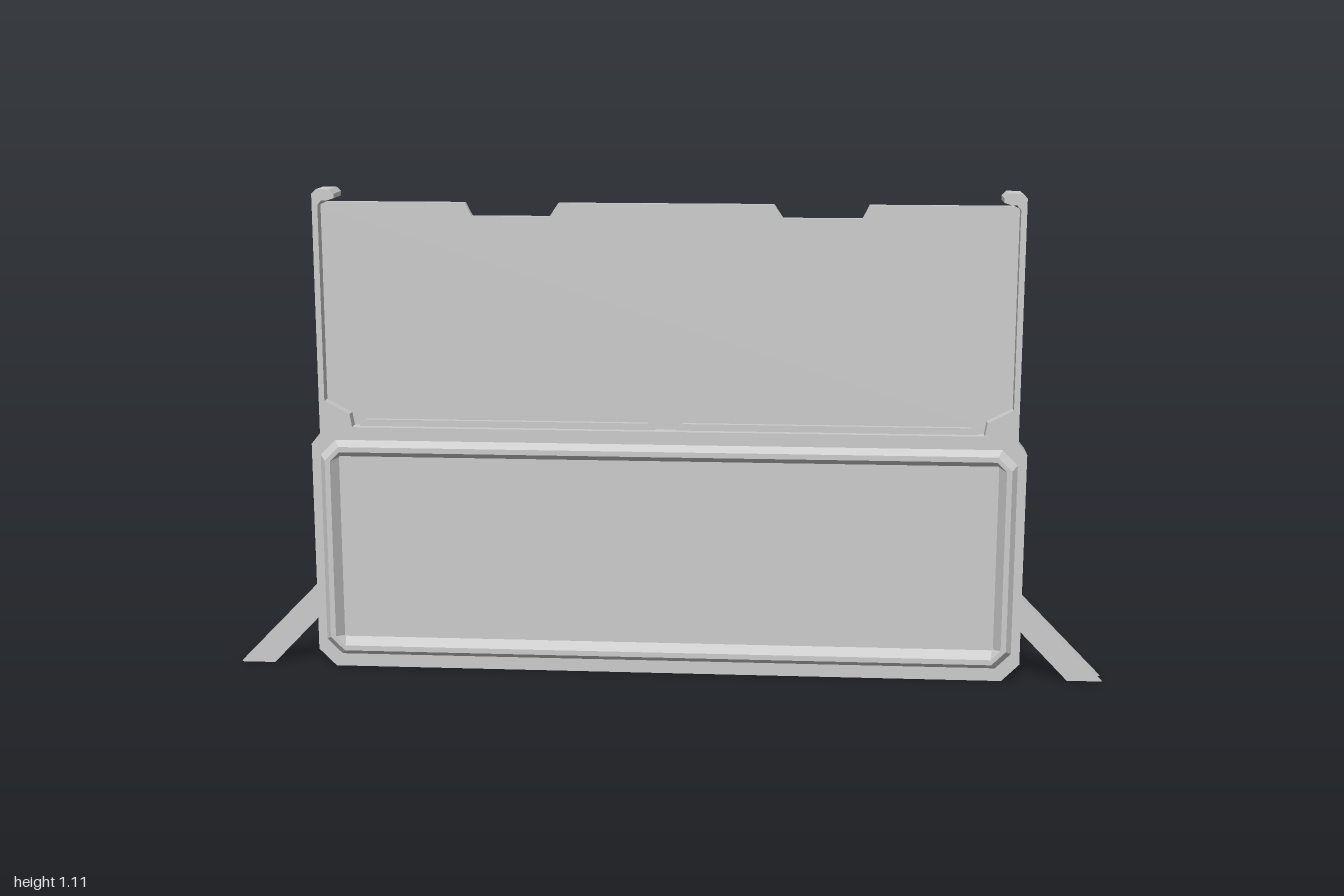
import * as THREE from 'three';

const material = new THREE.MeshStandardMaterial({ color: 0xcccccc, flatShading: true });

const addMesh = (group, geometry, name) => {
  const mesh = new THREE.Mesh(geometry, material);
  mesh.name = name;
  group.add(mesh);
  return mesh;
};

const toVectors = (pts) => pts.map(([x, y]) => new THREE.Vector2(x, y));

// Closes a right-half outline with its mirror image
const mirrored = (half) => [...half, ...half.map(([x, y]) => [-x, y]).reverse()];

// Plate cut from an outline, centred on z
function plate(pts, z0, z1, hole) {
  const shape = new THREE.Shape(toVectors(pts));
  if (hole) shape.holes.push(new THREE.Path(toVectors(hole)));
  return new THREE.ExtrudeGeometry(shape, { depth: z1 - z0, bevelEnabled: false }).translate(0, 0, z0);
}

// Rectangle with cut corners, counter-clockwise
const MID_Y = 0.285;
const cutRect = (w, h, c) => [
  [-w + c, -h], [w - c, -h], [w, -h + c], [w, h - c],
  [w - c, h], [-w + c, h], [-w, h - c], [-w, -h + c],
].map(([x, y]) => [x, y + MID_Y]);

// Bevelled rim joined from nested loops [halfWidth, halfHeight, cornerCut, z]
function rimGeometry(sections) {
  const loops = sections.map(([w, h, c, z]) => cutRect(w, h, c).map(([x, y]) => [x, y, z]));
  const pos = [];
  for (let s = 0; s < loops.length - 1; s++) {
    for (let i = 0; i < 8; i++) {
      const j = (i + 1) % 8;
      const [a, b, c, d] = [loops[s][i], loops[s][j], loops[s + 1][j], loops[s + 1][i]];
      pos.push(...a, ...b, ...c, ...a, ...c, ...d);
    }
  }
  const geometry = new THREE.BufferGeometry();
  geometry.setAttribute('position', new THREE.Float32BufferAttribute(pos, 3));
  geometry.computeVertexNormals();
  return geometry;
}

export function createModel() {
  const model = new THREE.Group();
  model.name = 'panelBarrier';

  // Lower body and upright posts share one outline, open at the recess
  const frame = mirrored([
    [0.77, 0], [0.81, 0.04], [0.81, 0.53], [0.79, 0.555],
    [0.79, 1.1], [0.78, 1.11], [0.75, 1.11], [0.74, 1.1], [0.74, 1.09], [0.755, 1.085],
    [0.768, 1.085], [0.777, 1.075], [0.777, 0.63], [0.72, 0.6], [0.715, 0.57],
  ]);
  addMesh(model, plate(frame, -0.037, 0.037, cutRect(0.762, 0.227, 0.01)), 'frame');

  // Recessed floor, seen from both sides
  addMesh(model, new THREE.BoxGeometry(1.53, 0.46, 0.056).translate(0, MID_Y, 0), 'recessedPanel');

  // Raised rims on front and back
  const rim = rimGeometry([
    [0.79, 0.255, 0.035, 0.037], [0.777, 0.242, 0.032, 0.055],
    [0.765, 0.23, 0.022, 0.055], [0.75, 0.215, 0.002, 0.028],
  ]);
  addMesh(model, rim, 'frontRim');
  addMesh(model, rim, 'backRim').rotation.y = Math.PI;

  // Thin upper screen with two notches in its top edge
  const screen = mirrored([
    [0.785, 0.56], [0.785, 1.07], [0.765, 1.08], [0.45, 1.08],
    [0.435, 1.05], [0.26, 1.05], [0.24, 1.08],
  ]);
  addMesh(model, plate(screen, -0.008, 0.008), 'upperScreen');

  for (const side of [-1, 1]) {
    const label = side > 0 ? 'left' : 'right';

    // Low rail gripping the foot of the screen
    const rail = [[0.02, 0.565], [0.7, 0.565], [0.7, 0.575], [0.685, 0.585], [0.04, 0.585], [0.025, 0.572]];
    const railMesh = addMesh(model, plate(rail, -0.02, 0.02), label + 'ScreenRail');

    // Slanted leg: two flanges joined by an inset web
    const leg = new THREE.Group();
    leg.name = label + 'Leg';
    const flange = [[0.8, 0.125], [0.92, 0], [1, 0], [0.81, 0.195], [0.8, 0.195]];
    const web = [[0.8, 0.14], [0.935, 0], [0.985, 0], [0.8, 0.188]];
    addMesh(leg, plate(flange, 0.014, 0.024), 'frontFlange');
    addMesh(leg, plate(flange, -0.024, -0.014), 'backFlange');
    addMesh(leg, plate(web, -0.014, 0.014), 'web');
    model.add(leg);

    if (side < 0) {
      railMesh.rotation.y = Math.PI;
      leg.rotation.y = Math.PI;
    }
  }
  return model;
}
